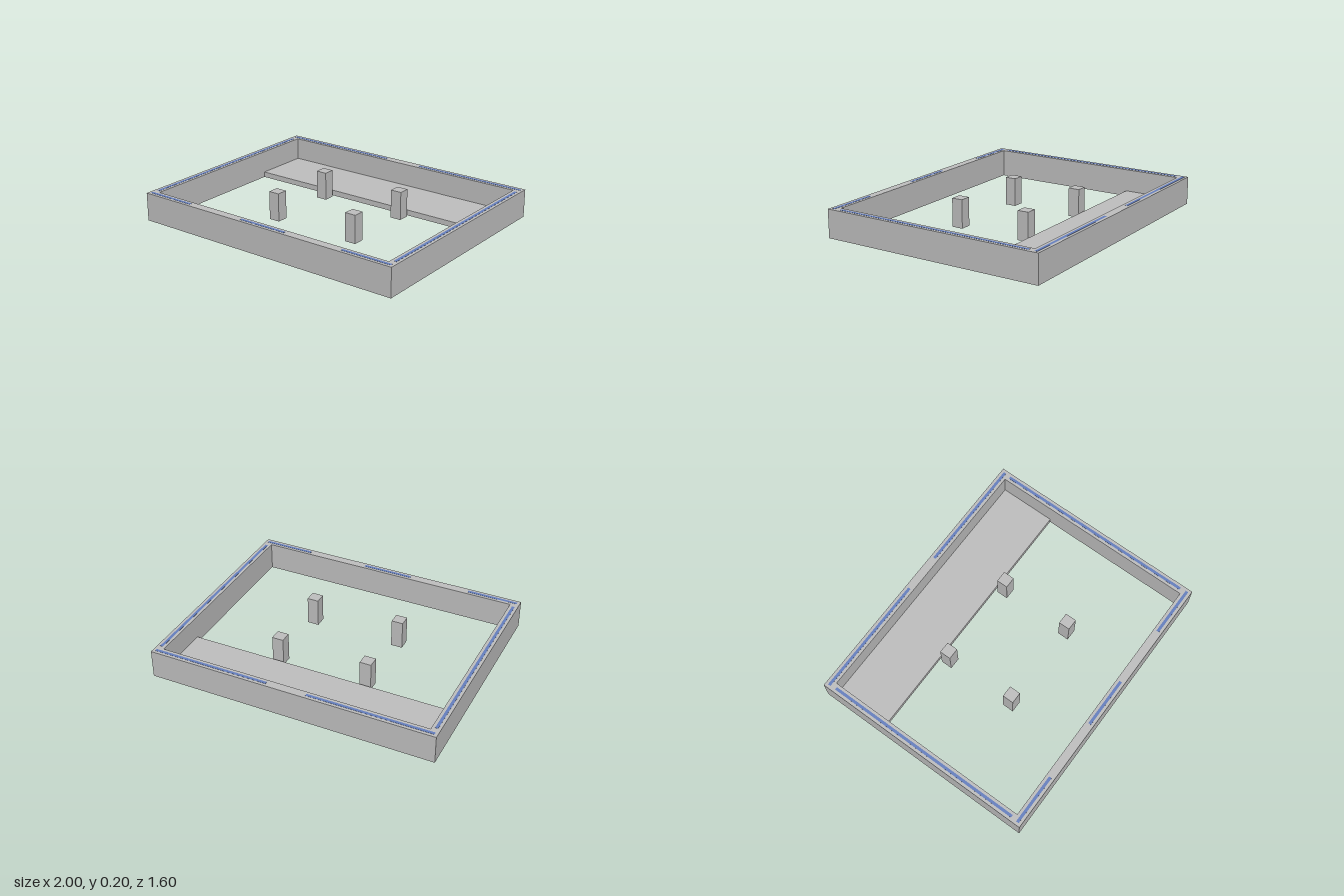
import * as THREE from 'three';

const grey = new THREE.MeshStandardMaterial({ color: 0xc0c0c0 });
grey.name = 'wall grey';
const blue = new THREE.MeshStandardMaterial({ color: 0x6680c0 });
blue.name = 'inlay blue';

const HEIGHT = 0.2;
const LIP = 0.001; // how far the inlays stand proud of the wall edges

// Box given by its extents in x, y and z
function block(name, [x0, x1], [y0, y1], [z0, z1], material) {
  const mesh = new THREE.Mesh(new THREE.BoxGeometry(x1 - x0, y1 - y0, z1 - z0), material);
  mesh.position.set((x0 + x1) / 2, (y0 + y1) / 2, (z0 + z1) / 2);
  mesh.name = name;
  return mesh;
}

function rectangle(path, hx, hz) {
  path.moveTo(-hx, -hz);
  path.lineTo(hx, -hz);
  path.lineTo(hx, hz);
  path.lineTo(-hx, hz);
  path.closePath();
  return path;
}

export function createModel() {
  const model = new THREE.Group();
  model.name = 'walledFloor';

  // Outer walls: one rectangular ring
  const outline = rectangle(new THREE.Shape(), 1, 0.8);
  outline.holes.push(rectangle(new THREE.Path(), 0.94, 0.74));
  const ring = new THREE.ExtrudeGeometry(outline, { depth: HEIGHT - 2 * LIP, bevelEnabled: false });
  ring.rotateX(-Math.PI / 2);
  const walls = new THREE.Mesh(ring, grey);
  walls.position.y = LIP;
  walls.name = 'outerWalls';
  model.add(walls);

  // Low platform along the back wall
  model.add(block('backPlatform', [-0.94, 0.94], [LIP, 0.04], [-0.74, -0.34], grey));

  // Four square pillars
  for (const x of [-0.32, 0.32]) {
    for (const z of [-0.28, 0.24]) {
      model.add(block('pillar', [x - 0.04, x + 0.04], [0, HEIGHT], [z - 0.04, z + 0.04], grey));
    }
  }

  // Blue panels set into the walls, showing on the top and bottom edges
  const inlays = new THREE.Group();
  inlays.name = 'wallInlays';
  const y = [0, HEIGHT];
  for (const span of [[-0.98, -0.62], [-0.18, 0.18], [0.62, 0.98]]) {
    inlays.add(block('frontInlay', span, y, [0.76, 0.78], blue));
  }
  for (const span of [[-0.98, -0.12], [0.16, 0.98]]) {
    inlays.add(block('backInlay', span, y, [-0.78, -0.76], blue));
  }
  for (const side of [-1, 1]) {
    inlays.add(block('sideInlay', [side * 0.97 - 0.01, side * 0.97 + 0.01], y, [-0.72, 0.72], blue));
  }
  model.add(inlays);

  return model;
}
